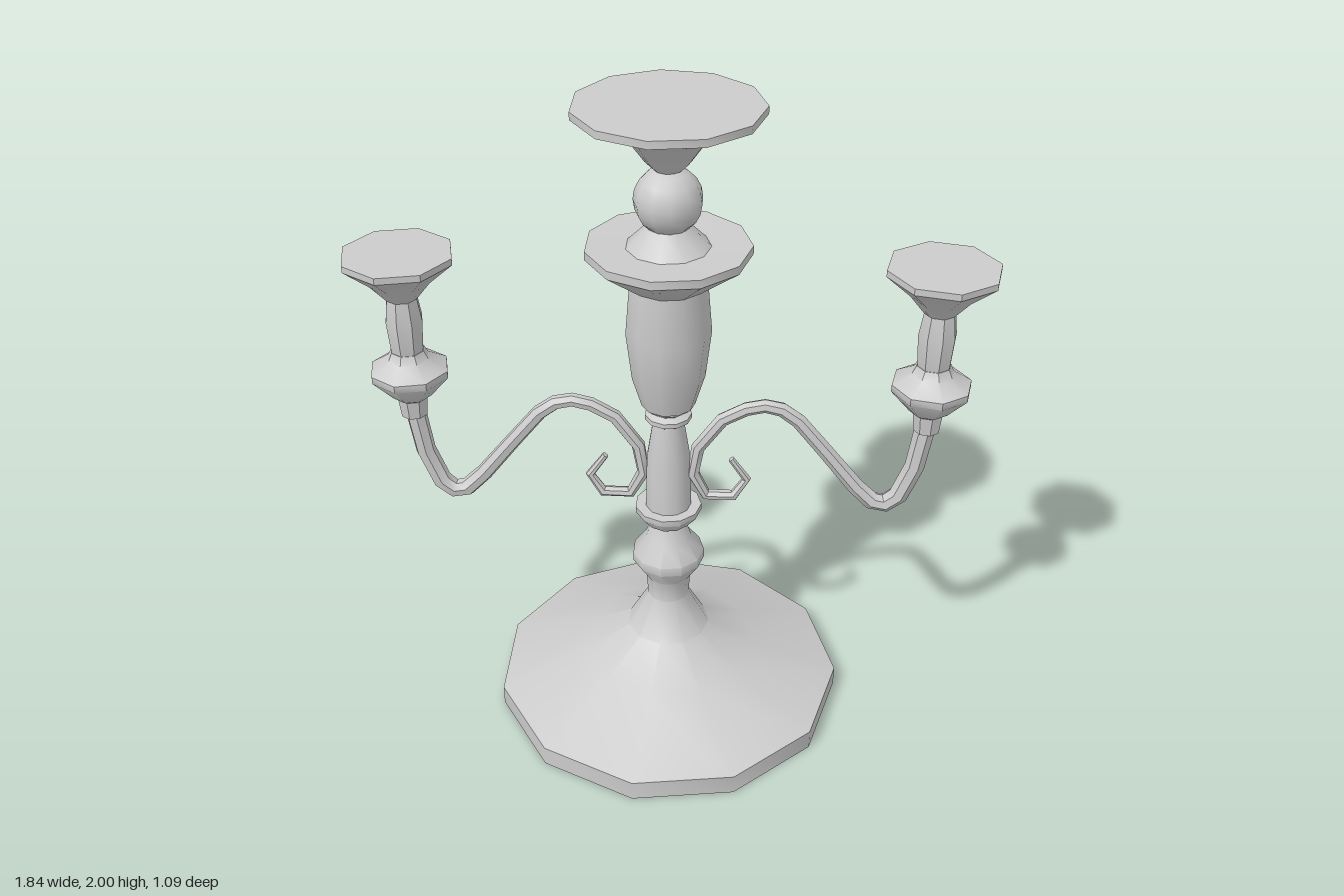
import * as THREE from 'three';
import { toCreasedNormals } from 'three/addons/utils/BufferGeometryUtils.js';

const material = new THREE.MeshStandardMaterial({ color: 0xcccccc });
const CREASE = 0.68;

function part(name, geometry) {
  const mesh = new THREE.Mesh(toCreasedNormals(geometry, CREASE), material);
  mesh.name = name;
  return mesh;
}

// Turned part from [radius, height] pairs, closed on the axis at both ends
function turned(name, profile, sides, start) {
  const pts = [[0, profile[0][1]], ...profile, [0, profile.at(-1)[1]]];
  return part(name, new THREE.LatheGeometry(
    pts.map(([r, y]) => new THREE.Vector2(r, y)), sides, start));
}

// Tapered tube along [x, y, radius] stations in the xy plane, with mitred bends
function taperedTube(name, stations, sides = 7) {
  const pos = [], index = [], n = stations.length;
  stations.forEach(([x, y, r], i) => {
    const a = stations[Math.max(i - 1, 0)], b = stations[Math.min(i + 1, n - 1)];
    const t = new THREE.Vector2(b[0] - a[0], b[1] - a[1]).normalize();
    for (let j = 0; j < sides; j++) {
      const u = j / sides * Math.PI * 2, c = r * Math.cos(u);
      pos.push(x - t.y * c, y + t.x * c, r * Math.sin(u));
    }
  });
  for (let i = 0; i < n - 1; i++) {
    for (let j = 0; j < sides; j++) {
      const k = (j + 1) % sides;
      const a = i * sides + j, b = i * sides + k, c = a + sides, d = b + sides;
      index.push(a, b, d, a, d, c);
    }
  }
  const last = (n - 1) * sides;
  for (let j = 1; j < sides - 1; j++) {
    index.push(0, j + 1, j, last, last + j, last + j + 1);
  }
  const g = new THREE.BufferGeometry();
  g.setAttribute('position', new THREE.Float32BufferAttribute(pos, 3));
  g.setIndex(index);
  return part(name, g);
}

export function createModel() {
  const group = new THREE.Group();
  group.name = 'candelabra';
  const column = (name, profile) => group.add(turned(name, profile, 11, Math.PI / 2));

  // Central column, from the foot up
  column('base', [[0.55, 0], [0.55, 0.065], [0.28, 0.17], [0.13, 0.255], [0.065, 0.375],
    [0.07, 0.45], [0.112, 0.515], [0.112, 0.545], [0.072, 0.6], [0.05, 0.665]]);
  column('lowerSaucer', [[0.07, 0.66], [0.102, 0.7], [0.102, 0.72]]);
  column('stem', [[0.07, 0.72], [0.066, 0.9], [0.045, 1.035]]);
  column('collar', [[0.055, 1.025], [0.07, 1.035], [0.07, 1.05], [0.05, 1.06],
    [0.07, 1.075], [0.055, 1.095]]);
  column('bulb', [[0.08, 1.085], [0.108, 1.18], [0.125, 1.33], [0.112, 1.485]]);
  column('upperSaucer', [[0.112, 1.48], [0.235, 1.575], [0.235, 1.6], [0.12, 1.595], [0.06, 1.655]]);
  const ball = part('ball', new THREE.SphereGeometry(0.097, 11, 10));
  ball.position.y = 1.73;
  group.add(ball);
  column('topCup', [[0.04, 1.82], [0.065, 1.845], [0.115, 1.915], [0.16, 1.945],
    [0.262, 1.978], [0.262, 2.0]]);

  // Curling arm: scroll tip, up beside the stem, over and down, then up to the cup
  const armPath = [[0.19, 0.89, 0.01], [0.238, 0.82, 0.014], [0.2, 0.757, 0.017],
    [0.115, 0.757, 0.018], [0.075, 0.835, 0.02], [0.09, 0.93, 0.021],
    [0.16, 1.03, 0.021], [0.23, 1.07, 0.021], [0.285, 1.083, 0.021],
    [0.335, 1.072, 0.022], [0.385, 1.035, 0.023], [0.47, 0.93, 0.024],
    [0.565, 0.81, 0.026], [0.62, 0.755, 0.028], [0.66, 0.748, 0.029],
    [0.698, 0.78, 0.03], [0.738, 0.89, 0.03], [0.758, 1.04, 0.031]];
  const cupProfile = [[0.04, 1.02], [0.046, 1.08], [0.06, 1.09], [0.118, 1.158],
    [0.118, 1.18], [0.062, 1.215], [0.05, 1.24]];
  const holderProfile = [[0.045, 1.22], [0.05, 1.25], [0.056, 1.34], [0.046, 1.41],
    [0.09, 1.465], [0.163, 1.53], [0.163, 1.55]];

  for (const [side, s] of [['left', 1], ['right', -1]]) {
    const arm = new THREE.Group();
    arm.name = side + 'Arm';
    arm.add(taperedTube(side + 'Branch', armPath.map(([x, y, r]) => [s * x, y, r])));
    const start = s * THREE.MathUtils.degToRad(10);
    for (const [name, profile] of [['DripCup', cupProfile], ['CandleHolder', holderProfile]]) {
      const mesh = turned(side + name, profile, 8, start);
      mesh.position.x = s * 0.76;
      arm.add(mesh);
    }
    group.add(arm);
  }
  return group;
}
